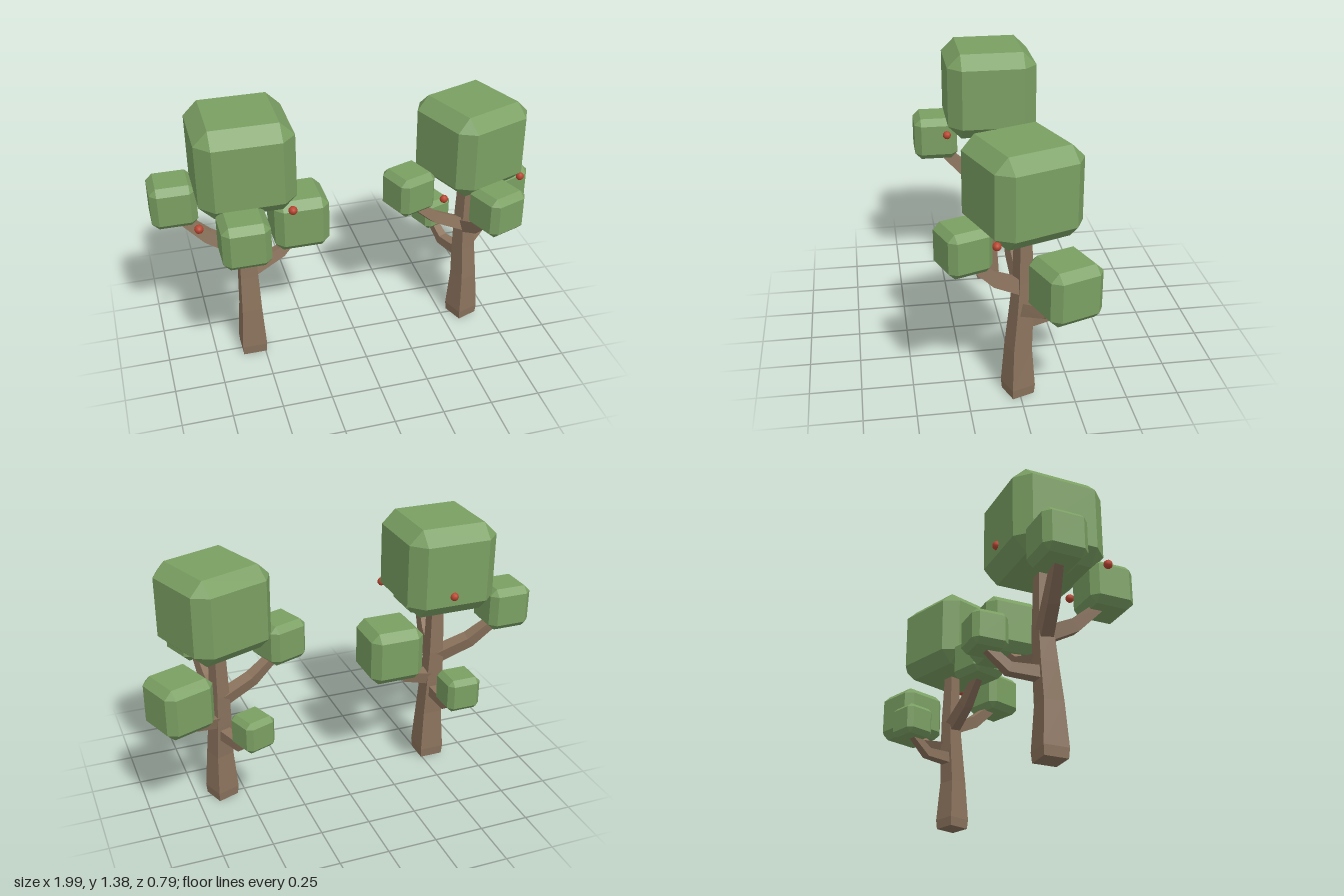
import * as THREE from 'three';
import { ConvexGeometry } from 'three/addons/geometries/ConvexGeometry.js';

// Box with every edge and corner chamfered
function chamferBox(sx, sy, sz, c) {
  const [x, y, z] = [sx / 2, sy / 2, sz / 2];
  const points = [];
  for (const i of [-1, 1]) for (const j of [-1, 1]) for (const k of [-1, 1]) {
    points.push(
      new THREE.Vector3(i * x, j * (y - c), k * (z - c)),
      new THREE.Vector3(i * (x - c), j * y, k * (z - c)),
      new THREE.Vector3(i * (x - c), j * (y - c), k * z));
  }
  return new ConvexGeometry(points);
}

// Square tapering limb along a path of [x, y, z, halfWidth]
function limb(path) {
  const n = path.length - 1;
  const centres = path.map(p => new THREE.Vector3(p[0], p[1], p[2]));
  const up = new THREE.Vector3(0, 1, 0);
  const turns = centres.map((_, i) => {
    const dir = centres[Math.min(i + 1, n)].clone().sub(centres[Math.max(i - 1, 0)]).normalize();
    return new THREE.Quaternion().setFromUnitVectors(up, dir);
  });
  const geo = new THREE.BoxGeometry(2, n, 2, 1, n, 1).toNonIndexed();
  const pos = geo.attributes.position;
  const v = new THREE.Vector3();
  for (let i = 0; i < pos.count; i++) {
    const row = Math.round(pos.getY(i) + n / 2);
    v.set(pos.getX(i), 0, pos.getZ(i)).multiplyScalar(path[row][3]);
    v.applyQuaternion(turns[row]).add(centres[row]);
    pos.setXYZ(i, v.x, v.y, v.z);
  }
  geo.computeVertexNormals();
  return geo;
}

// Limbs shared by both trees
const LIMBS = {
  trunk: [[0, 0, 0, 0.06], [0, 0.05, 0, 0.064], [0, 0.27, 0, 0.051],
    [0, 0.46, -0.015, 0.045], [0, 0.64, -0.025, 0.038], [0, 1.0, -0.02, 0.03]],
  rightBranch: [[0, 0.6, -0.02, 0.034], [-0.18, 0.69, -0.07, 0.031], [-0.33, 0.82, -0.11, 0.022]],
  leftBranch: [[0, 0.48, -0.015, 0.034], [0.18, 0.54, -0.06, 0.027], [0.3, 0.65, -0.09, 0.02]],
  frontBranch: [[0, 0.6, -0.03, 0.038], [-0.025, 0.67, 0.12, 0.034], [-0.05, 0.8, 0.26, 0.024]],
  backBranch: [[0, 0.41, 0, 0.032], [0, 0.405, -0.2, 0.026], [0, 0.49, -0.31, 0.02]],
};

// Foliage blocks: centre, size, chamfer
const FOLIAGE = {
  canopy: [[0, 1.15, -0.015], [0.47, 0.46, 0.47], 0.07],
  rightFoliage: [[-0.333, 0.9, -0.115], [0.224, 0.224, 0.224], 0.033],
  leftFoliage: [[0.285, 0.73, -0.09], [0.28, 0.28, 0.28], 0.041],
  frontFoliage: [[-0.05, 0.875, 0.275], [0.23, 0.23, 0.23], 0.034],
  backFoliage: [[0, 0.555, -0.315], [0.175, 0.175, 0.175], 0.026],
};

export function createModel() {
  const material = (name, color) =>
    Object.assign(new THREE.MeshStandardMaterial({ color }), { name });
  const bark = material('bark', 0x8a725c);
  const leaf = material('leaf', 0x7a9f62);
  const red = material('berry red', 0xb8442f);

  const model = new THREE.Group();
  model.name = 'twoTrees';

  function addTree(name, berries) {
    const tree = new THREE.Group();
    tree.name = name;
    const add = (part, geo, mat, at = [0, 0, 0]) => {
      const mesh = new THREE.Mesh(geo, mat);
      mesh.name = part;
      mesh.position.set(...at);
      tree.add(mesh);
    };
    for (const [part, path] of Object.entries(LIMBS)) add(part, limb(path), bark);
    for (const [part, [at, size, c]] of Object.entries(FOLIAGE)) {
      add(part, chamferBox(...size, c), leaf, at);
    }
    for (const at of berries) add('berry', new THREE.IcosahedronGeometry(0.022, 1), red, at);
    model.add(tree);
    return tree;
  }

  const tall = addTree('tallTree', [[-0.245, 0.905, 0.195], [0.195, 0.955, 0.23], [0.015, 1.04, -0.25]]);
  tall.position.x = -0.555;

  // Slightly smaller copy, turned about its trunk
  const small = addTree('smallTree', [[-0.275, 0.925, 0.11], [0.17, 0.96, 0.21]]);
  small.position.set(0.615, 0, 0.005);
  small.rotation.y = THREE.MathUtils.degToRad(20);
  small.scale.setScalar(0.94);

  return model;
}
